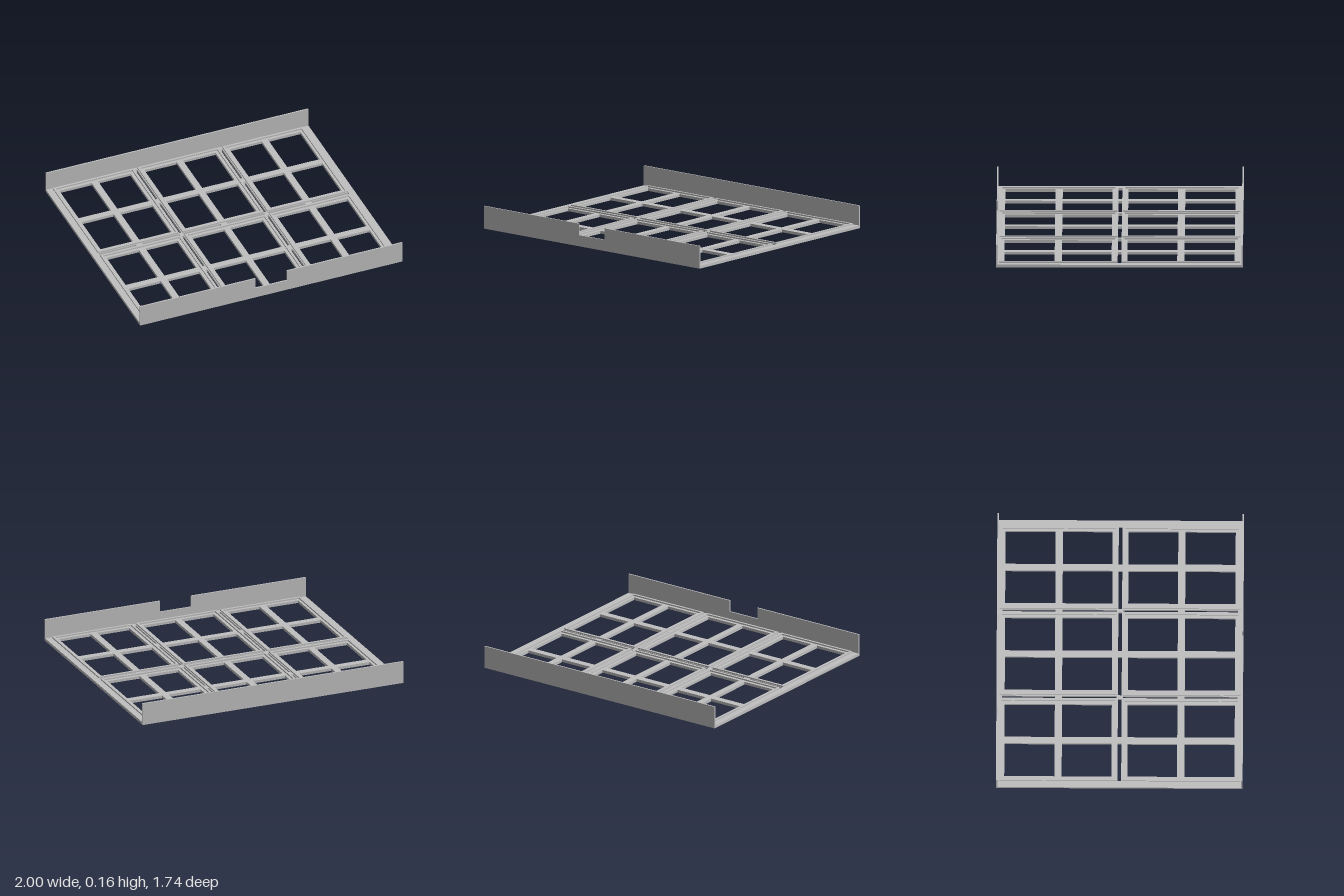
import * as THREE from 'three';

const grey = new THREE.MeshStandardMaterial({ color: 0xc0c0c0 });
grey.name = 'light grey';

const BASE = 0.02, RIDGE = 0.03, WALL = 0.163, HALF_Z = 0.868;

// Rectangle outline as a list of corners
function rect(x0, x1, z0, z1) {
  return [[x0, z0], [x1, z0], [x1, z1], [x0, z1]].map(([x, z]) => new THREE.Vector2(x, z));
}

// Flat plate with rectangular holes, laid on the ground plane
function plate(name, outline, holes, y, height) {
  const shape = new THREE.Shape(rect(...outline));
  for (const h of holes) shape.holes.push(new THREE.Path(rect(...h)));
  const geo = new THREE.ExtrudeGeometry(shape, { depth: height, bevelEnabled: false });
  geo.rotateX(-Math.PI / 2);
  const mesh = new THREE.Mesh(geo, grey);
  mesh.position.y = y;
  mesh.name = name;
  return mesh;
}

export function createModel() {
  const group = new THREE.Group();
  group.name = 'grid tray';

  const cellsX = [[-0.952, -0.338], [-0.309, 0.309], [0.338, 0.952]];
  const paneX = [[-0.918, -0.672], [-0.623, -0.378], [-0.271, -0.024],
    [0.024, 0.271], [0.378, 0.623], [0.672, 0.918]];
  const paneZ = [[-0.81, -0.457], [-0.406, -0.056], [0.056, 0.406], [0.457, 0.81]];

  // Window openings of the base
  const holes = [];
  for (const x of paneX) for (const z of paneZ) holes.push([...x, ...z]);

  // Slots along the middle, interrupted at the cross bars
  for (const [x0, x1] of cellsX) {
    const mid = (x0 + x1) / 2;
    holes.push([x0, mid - 0.024, -0.013, 0.013], [mid + 0.024, x1, -0.013, 0.013]);
  }

  // Narrow slots between neighbouring columns
  for (const x of [-0.3235, 0.3235]) {
    for (const s of [-1, 1]) {
      for (const [a, b] of [[0.022, 0.406], [0.457, 0.83]]) {
        holes.push([x - 0.007, x + 0.007, Math.min(s * a, s * b), Math.max(s * a, s * b)]);
      }
    }
  }
  group.add(plate('baseGrid', [-1, 1, -HALF_Z, HALF_Z], holes, 0, BASE));

  // Raised ridge around each of the six cells
  const w = 0.016;
  for (const [x0, x1] of cellsX) {
    for (const [z0, z1] of [[-0.848, -0.018], [0.018, 0.848]]) {
      group.add(plate('cellRidge', [x0, x1, z0, z1],
        [[x0 + w, x1 - w, z0 + w, z1 - w]], BASE, RIDGE - BASE));
    }
  }

  // Upright walls: plain at the back, notched at the front
  const t = 0.01;
  const back = new THREE.Mesh(new THREE.BoxGeometry(2, WALL, t), grey);
  back.name = 'backWall';
  back.position.set(0, WALL / 2, -HALF_Z + t / 2);
  const profile = [[-1, 0], [1, 0], [1, WALL], [0.12, WALL], [0.12, 0.08],
    [-0.12, 0.08], [-0.12, WALL], [-1, WALL]].map(([x, y]) => new THREE.Vector2(x, y));
  const front = new THREE.Mesh(
    new THREE.ExtrudeGeometry(new THREE.Shape(profile), { depth: t, bevelEnabled: false }), grey);
  front.name = 'frontWall';
  front.position.z = HALF_Z - t;
  group.add(back, front);

  return group;
}
